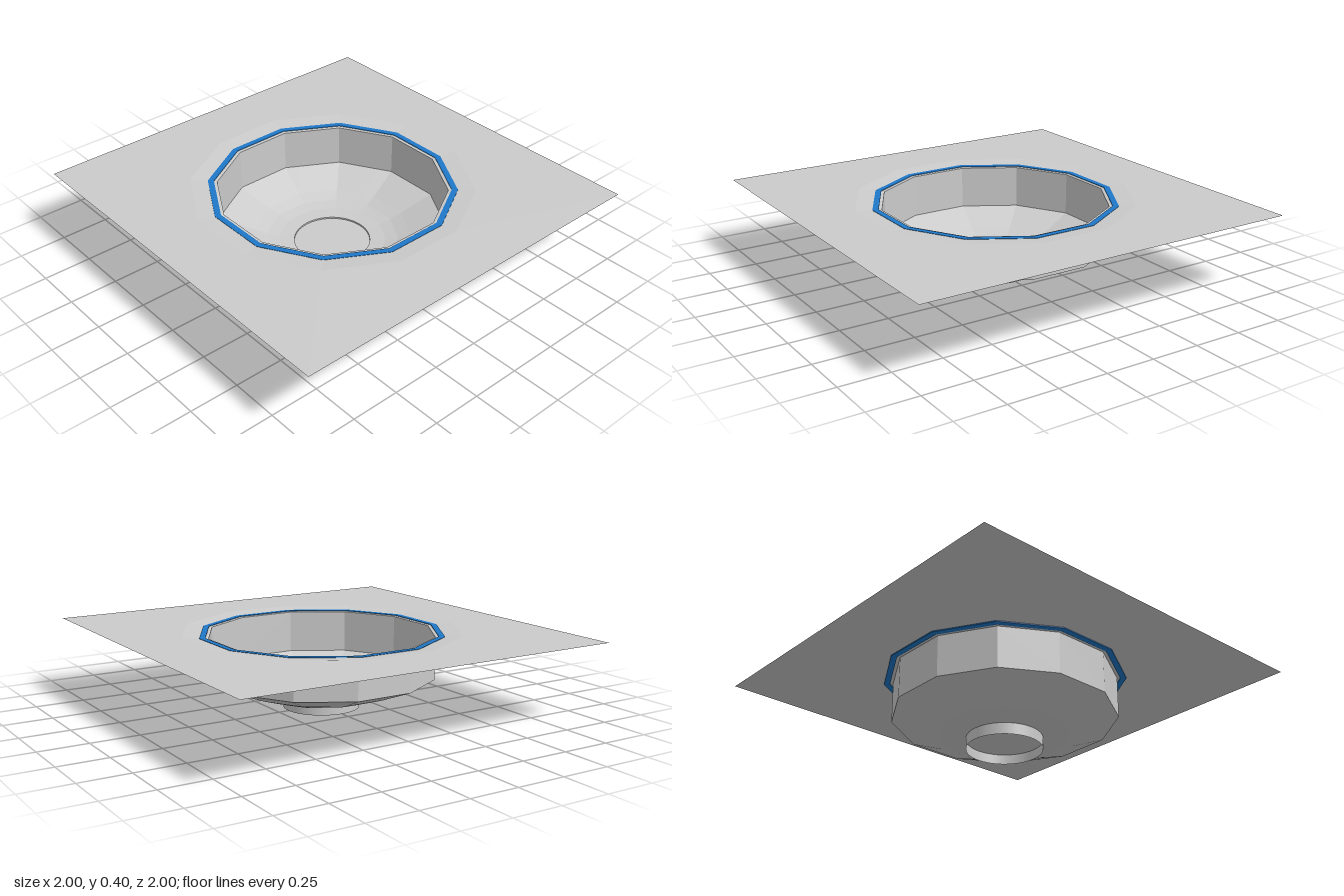
import * as THREE from 'three';

const SIDES = 12;
const HALF = Math.PI / SIDES;

function material(color = 0xcccccc, flatShading = true) {
  return new THREE.MeshStandardMaterial({ color, flatShading, side: THREE.DoubleSide });
}

// Twelve-sided ring; profile radii are measured to the middle of each flat
function facetedRing(name, profile, color) {
  const points = profile.map(([r, y]) => new THREE.Vector2(r / Math.cos(HALF), y));
  const mesh = new THREE.Mesh(new THREE.LatheGeometry(points, SIDES, HALF), material(color));
  mesh.name = name;
  return mesh;
}

// Sloped bowl floor: twelve-sided at the wall, blending to a circle at the drain
function bowlFloor(profile, rOuter, rInner) {
  const points = profile.map(([r, y]) => new THREE.Vector2(r, y));
  const geometry = new THREE.LatheGeometry(points, SIDES * 4, HALF);
  const pos = geometry.attributes.position;
  for (let i = 0; i < pos.count; i++) {
    const x = pos.getX(i), z = pos.getZ(i);
    const r = Math.hypot(x, z);
    const angle = Math.atan2(x, z);
    const local = angle - Math.round(angle / (2 * HALF)) * 2 * HALF;
    const t = Math.min(1, (r - rInner) / (rOuter - rInner) * 2);
    const k = 1 + t * (1 / Math.cos(local) - 1);
    pos.setXYZ(i, x * k, pos.getY(i), z * k);
  }
  const mesh = new THREE.Mesh(geometry, material());
  mesh.name = 'bowlFloor';
  return mesh;
}

export function createModel() {
  const group = new THREE.Group();
  group.name = 'sunkenBasin';
  const top = 0.395;

  // Square surround with a twelve-sided opening
  const square = new THREE.Shape();
  square.moveTo(-1, -1).lineTo(1, -1).lineTo(1, 1).lineTo(-1, 1).closePath();
  const opening = [];
  for (let i = 0; i < SIDES; i++) {
    const a = -(2 * i + 1) * HALF, r = 0.69 / Math.cos(HALF);
    opening.push(new THREE.Vector2(r * Math.cos(a), r * Math.sin(a)));
  }
  square.holes.push(new THREE.Path(opening));
  const plate = new THREE.Mesh(new THREE.ShapeGeometry(square), material());
  plate.name = 'surroundPlate';
  plate.rotation.x = -Math.PI / 2;
  plate.position.y = top;
  group.add(plate);

  // Shallow dished border, seal, and bowl wall with its narrow lip
  group.add(
    facetedRing('dishedBorder', [[0.605, 0.387], [0.69, top]]),
    facetedRing('sealRing', [[0.576, 0.382], [0.606, 0.382], [0.606, 0.389], [0.576, 0.389], [0.576, 0.382]], 0x1f78c8),
    facetedRing('bowlWall', [[0.56, 0.166], [0.56, 0.384], [0.577, 0.386]]),
    bowlFloor([[0.195, 0.06], [0.27, 0.065], [0.33, 0.077], [0.39, 0.098], [0.56, 0.166]], 0.56, 0.195)
  );

  // Drain collar, open underneath, closed by a disc just below the floor
  const collar = new THREE.Mesh(
    new THREE.CylinderGeometry(0.195, 0.195, 0.06, 48, 1, true), material(0xcccccc, false));
  collar.name = 'drainCollar';
  collar.position.y = 0.03;
  const disc = new THREE.Mesh(new THREE.CircleGeometry(0.195, 48), material());
  disc.name = 'drainDisc';
  disc.rotation.x = -Math.PI / 2;
  disc.position.y = 0.052;
  group.add(collar, disc);

  return group;
}
